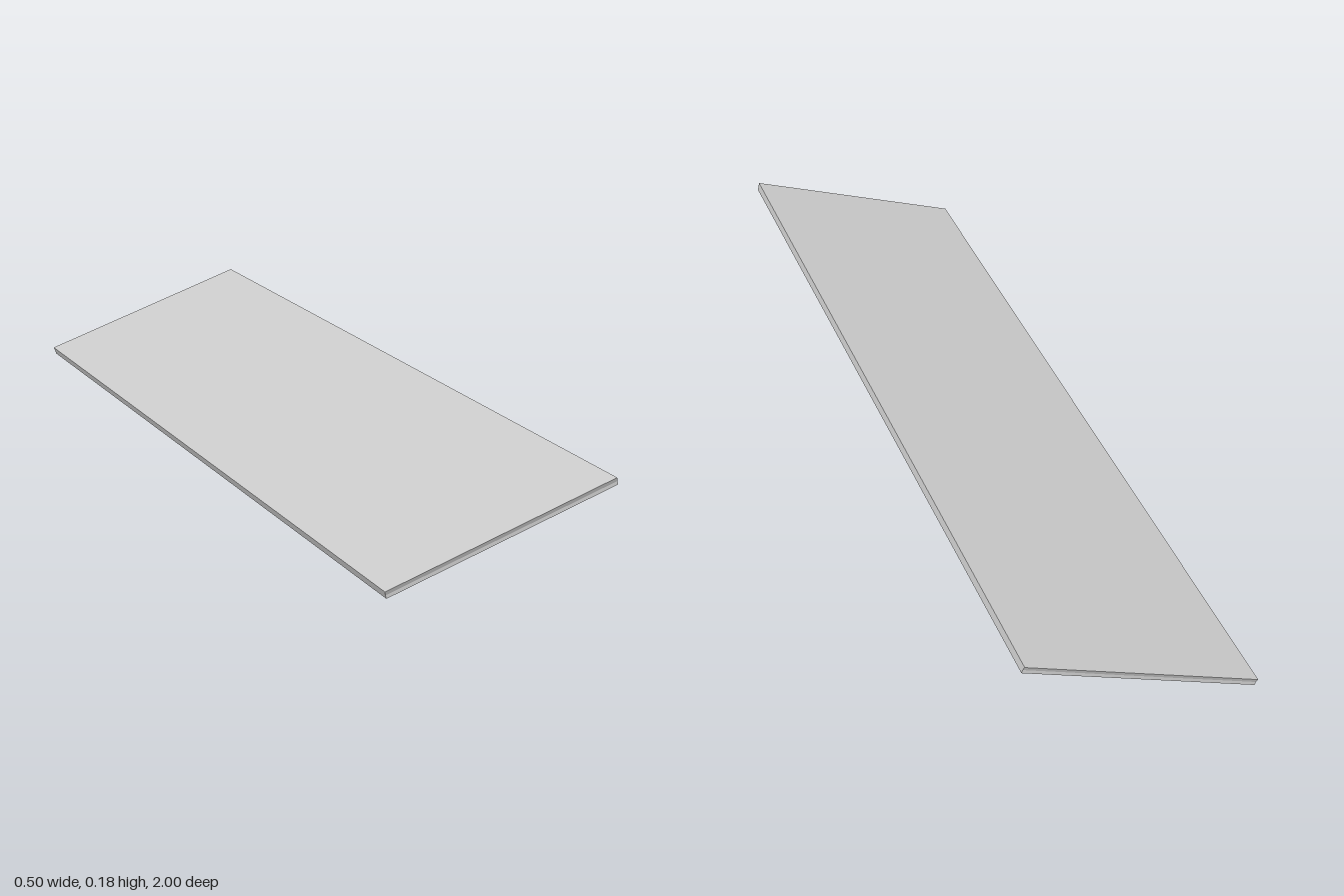
import * as THREE from 'three';

const grey = new THREE.MeshStandardMaterial({ color: 0xcccccc, flatShading: true });

// Skins a stack of rectangles [half width, half length, height]; caps are optional.
function loft(name, rings, cx, cz, topCap, bottomCap) {
  const pos = [];
  const corners = rings.map(([w, l, y]) => [
    [cx + w, y, cz + l], [cx + w, y, cz - l], [cx - w, y, cz - l], [cx - w, y, cz + l],
  ]);
  const quad = (a, b, c, d) => pos.push(...a, ...b, ...c, ...a, ...c, ...d);
  for (let i = 0; i < corners.length - 1; i++) {
    const up = corners[i], low = corners[i + 1];
    for (let k = 0; k < 4; k++) {
      const n = (k + 1) % 4;
      quad(up[k], low[k], low[n], up[n]);
    }
  }
  if (topCap) quad(...corners[0]);
  if (bottomCap) quad(...corners[corners.length - 1].slice().reverse());
  const geo = new THREE.BufferGeometry();
  geo.setAttribute('position', new THREE.Float32BufferAttribute(pos, 3));
  geo.computeVertexNormals();
  const mesh = new THREE.Mesh(geo, grey);
  mesh.name = name;
  return mesh;
}

function rectangle(PathType, cx, cz, w, l) {
  const path = new PathType();
  path.moveTo(cx - w, cz - l);
  path.lineTo(cx + w, cz - l);
  path.lineTo(cx + w, cz + l);
  path.lineTo(cx - w, cz + l);
  path.closePath();
  return path;
}

export function createModel() {
  const model = new THREE.Group();
  const door = new THREE.Group();
  door.name = 'tiltedDoor';
  model.add(door);

  const W = 0.2596, L = 1, bottom = -0.0165, sheet = -0.0125;

  // Flat top, slightly undercut ends and a raised rim around the underside
  door.add(loft('slabAndRim', [
    [W, L, 0], [W, L - 0.004, -0.009], [W, L - 0.004, bottom],
    [W - 0.01, L - 0.014, bottom], [W - 0.02, L - 0.03, sheet],
  ], 0, 0, true, false));

  // Underside sheet with an opening for each of the ten panels
  const face = rectangle(THREE.Shape, 0, 0, W - 0.02, L - 0.03);
  const panelW = 0.08, panelL = 0.165;
  for (const cx of [0.14, -0.062]) {
    for (let i = -2; i <= 2; i++) {
      const cz = i * 0.382;
      face.holes.push(rectangle(THREE.Path, cx, cz, panelW, panelL));
      // Grooved border rising to a flat field
      door.add(loft('raisedPanel', [
        [panelW, panelL, sheet],
        [panelW - 0.006, panelL - 0.006, sheet + 0.006],
        [panelW - 0.01, panelL - 0.01, sheet + 0.006],
        [panelW - 0.02, panelL - 0.022, sheet],
      ], cx, cz, false, true));
    }
  }
  const faceGeo = new THREE.ShapeGeometry(face);
  faceGeo.rotateX(Math.PI / 2);
  faceGeo.translate(0, sheet, 0);
  const underside = new THREE.Mesh(faceGeo, grey);
  underside.name = 'underside';
  door.add(underside);

  // Swing the door up towards +x
  door.rotation.z = 0.3194;
  door.position.set(-0.0026, 0.0972, 0);
  return model;
}
